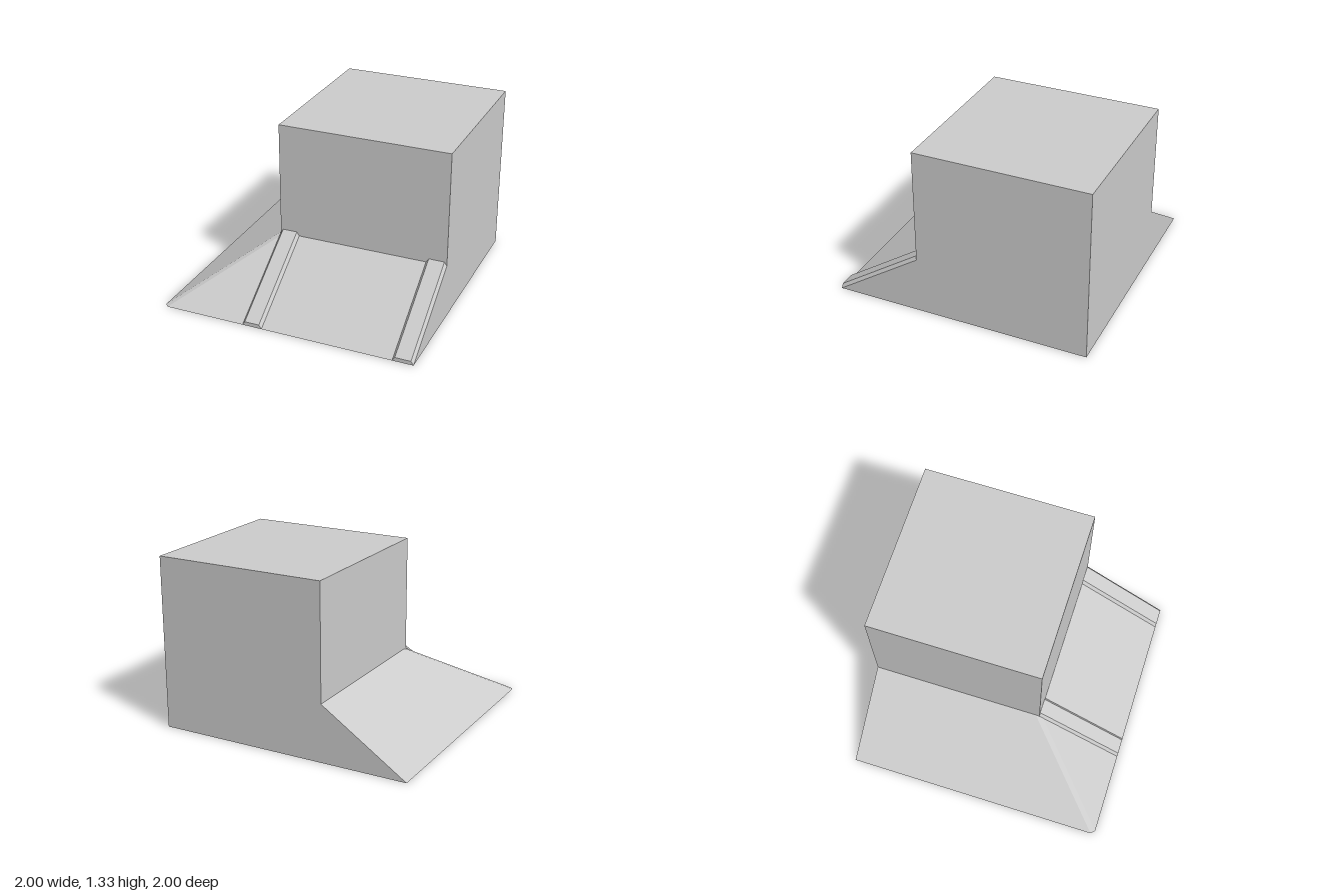
import * as THREE from 'three';

const mat = new THREE.MeshStandardMaterial({ color: 0xcccccc, side: THREE.DoubleSide });

// Main dimensions: tower corner W, tower height H, ramp height R, hip bevel B
const W = 0.333, H = 1.333, R = 0.445, B = 0.03;

// Flat sheets, each a fan of triangles around its first corner
function sheets(name, ...polys) {
  const pos = [];
  for (const p of polys)
    for (let i = 1; i < p.length - 1; i++) pos.push(...p[0], ...p[i], ...p[i + 1]);
  const g = new THREE.BufferGeometry();
  g.setAttribute('position', new THREE.Float32BufferAttribute(pos, 3));
  g.computeVertexNormals();
  const m = new THREE.Mesh(g, mat);
  m.name = name;
  return m;
}

function box(name, x0, x1, y0, y1, z0, z1) {
  const m = new THREE.Mesh(new THREE.BoxGeometry(x1 - x0, y1 - y0, z1 - z0), mat);
  m.position.set((x0 + x1) / 2, (y0 + y1) / 2, (z0 + z1) / 2);
  m.name = name;
  return m;
}

// Raised strip with bevelled sides running down the front ramp
function rib(x0, x1) {
  const h = 0.03, c = 0.02;
  const section = (y, z) => [[x0, y, z], [x0 + c, y + h, z], [x1 - c, y + h, z], [x1, y, z]];
  const a = section(0, 1), b = section(R, W);
  const faces = [a.slice().reverse(), b];
  for (let i = 0; i < 3; i++) faces.push([a[i], a[i + 1], b[i + 1], b[i]]);
  return sheets('rampRib', ...faces);
}

export function createModel() {
  const model = new THREE.Group();
  model.name = 'towerWithCornerRamp';

  // Flat outer walls, following the ramp and tower profile
  const profile = [[-1, 0], [1, 0], [W, R], [W, H], [-1, H]];
  model.add(sheets('sideWall', profile.map(([d, y]) => [1, y, d]).reverse()));
  model.add(sheets('backWall', profile.map(([d, y]) => [-d, y, -1])));

  // Tower walls above the ramps and its flat top
  model.add(sheets('towerWalls',
    [[-W, 0, W], [1, 0, W], [1, H, W], [-W, H, W]],
    [[-W, 0, -1], [-W, 0, W], [-W, H, W], [-W, H, -1]]));
  model.add(sheets('towerTop', [[-W, H, W], [1, H, W], [1, H, -1], [-W, H, -1]]));

  // Two ramps joined by a bevelled hip
  model.add(sheets('frontRamp', [[B - 1, 0, 1], [1, 0, 1], [1, R, W], [B - W, R, W]]));
  model.add(sheets('sideRamp', [[-1, 0, -1], [-1, 0, 1 - B], [-W, R, W - B], [-W, R, -1]]));
  model.add(sheets('hipBevel', [[-1, 0, 1 - B], [B - 1, 0, 1], [B - W, R, W], [-W, R, W - B]]));

  // Ribs, and the gusset under the inner one
  model.add(rib(-0.335, -0.18), rib(0.84, 1));
  model.add(sheets('ribGusset', [[-W, 0, W], [-W, 0, 1], [-W, R, W]]));

  // Sloped ceiling inside the hollow tower
  model.add(sheets('innerCeiling',
    [[-W, R, W], [1, R, W], [1, H, -1]],
    [[-W, R, W], [1, H, -1], [-W, R, -1]]));

  // Raised panels low on both inner walls, with a stepped corner post
  const p = 0.09, y0 = 0.09, end = -0.16;
  model.add(box('innerPanel', end, 0.995, y0, R, W - p, W - 0.002));
  model.add(box('innerPanel', 0.002 - W, p - W, y0, R, -0.995, -end));
  for (const [q, low, high] of [[0.05, 0, 0.21], [0.08, 0.21, R]])
    model.add(box('innerCornerPost', 0.002 - W, q - W, low, high, W - q, W - 0.002));

  return model;
}
